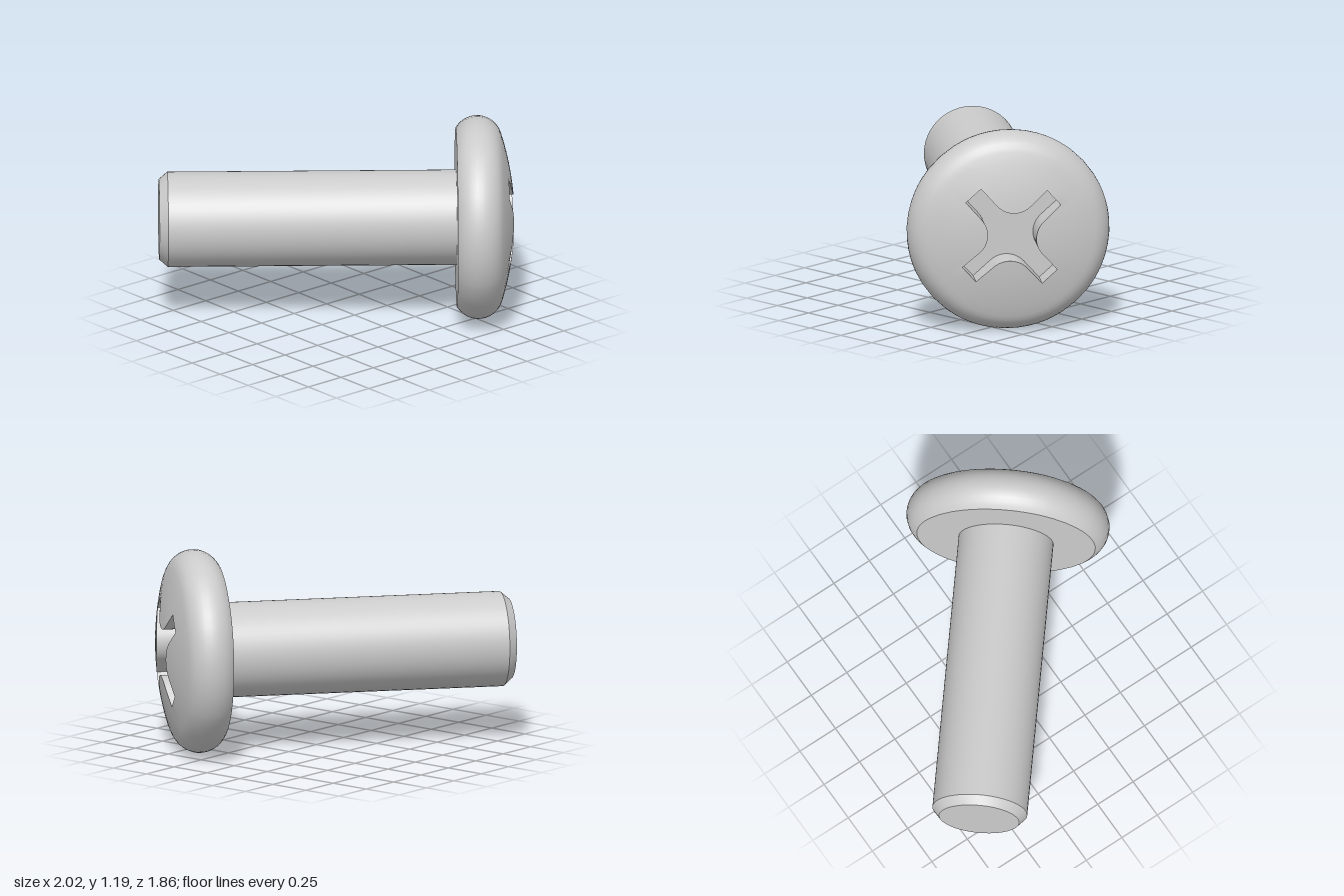
import * as THREE from 'three';
import { toCreasedNormals } from 'three/addons/utils/BufferGeometryUtils.js';

const CREASE = 0.5;
const RIM = { radius: 0.45, tube: 0.145, z: 0.125 }; // rounded edge of the head
const APEX = 0.34, FLOOR = 0.155;                    // dome height, recess floor height

// Cross-shaped recess outline, anticlockwise, star-shaped about the centre
function crossOutline() {
  const half = 0.06, tip = 0.335, fillet = 0.14, turn = THREE.MathUtils.degToRad(42);
  const centre = new THREE.Vector2();
  const points = [];
  for (let arm = 0; arm < 4; arm++) {
    const local = [[tip, -half], [tip, 0], [tip, half]];
    const c = half + fillet;
    for (let k = 0; k <= 12; k++) {
      const a = -Math.PI / 2 - (k / 12) * (Math.PI / 2);
      local.push([c + fillet * Math.cos(a), c + fillet * Math.sin(a)]);
    }
    for (const [x, y] of local) {
      points.push(new THREE.Vector2(x, y).rotateAround(centre, turn + arm * Math.PI / 2));
    }
  }
  return points;
}

// Skin closed rows of points, each row ordered anticlockwise
function skin(rows) {
  const positions = [];
  const add = (...corners) => corners.forEach((p) => positions.push(p.x, p.y, p.z));
  const n = rows[0].length;
  for (let i = 0; i < rows.length - 1; i++) {
    for (let j = 0; j < n; j++) {
      const k = (j + 1) % n;
      const a = rows[i][j], b = rows[i + 1][j], c = rows[i + 1][k], d = rows[i][k];
      if (i < rows.length - 2) add(a, b, c); else add(a, b, d);
      if (i > 0 && i < rows.length - 2) add(a, c, d);
    }
  }
  const geometry = new THREE.BufferGeometry();
  geometry.setAttribute('position', new THREE.Float32BufferAttribute(positions, 3));
  return toCreasedNormals(geometry, CREASE);
}

function headGeometry() {
  const outline = crossOutline();
  // Sphere of the dome, tangent to the rounded edge
  const { radius: R, tube: t, z: zr } = RIM;
  const g = APEX - zr;
  const S = (R * R + g * g - t * t) / (2 * (g - t));
  const domeZ = (r) => APEX - S + Math.sqrt(S * S - r * r);
  const start = Math.acos(R / (S - t));
  const end = -Math.asin(zr / t);
  const edgeRadius = R + t * Math.cos(start);

  const ring = (r, z) => outline.map((p) => {
    const a = p.angle();
    return new THREE.Vector3(r * Math.cos(a), r * Math.sin(a), z);
  });

  // Recess floor and wall
  const rows = [ring(0, FLOOR), outline.map((p) => new THREE.Vector3(p.x, p.y, FLOOR))];
  // Dome from the recess outline to the rounded edge
  for (let i = 0; i <= 6; i++) {
    rows.push(outline.map((p) => {
      const r = THREE.MathUtils.lerp(p.length(), edgeRadius, i / 6);
      const a = p.angle();
      return new THREE.Vector3(r * Math.cos(a), r * Math.sin(a), domeZ(r));
    }));
  }
  // Rounded edge, then flat underside
  for (let i = 1; i <= 12; i++) {
    const a = THREE.MathUtils.lerp(start, end, i / 12);
    rows.push(ring(R + t * Math.cos(a), zr + t * Math.sin(a)));
  }
  rows.push(ring(0, 0));
  return skin(rows);
}

// Plain round shank with a chamfered end
function shankGeometry() {
  const profile = [[0, -1.735], [0.235, -1.735], [0.278, -1.685], [0.278, 0]]
    .map(([r, y]) => new THREE.Vector2(r, y));
  const lathe = new THREE.LatheGeometry(profile, 48);
  lathe.rotateX(Math.PI / 2);
  return toCreasedNormals(lathe, CREASE);
}

export function createModel() {
  const material = new THREE.MeshStandardMaterial({ color: 0xcccccc });
  const screw = new THREE.Group();
  screw.name = 'screw';
  for (const [name, geometry] of [['head', headGeometry()], ['shank', shankGeometry()]]) {
    const mesh = new THREE.Mesh(geometry, material);
    mesh.name = name;
    screw.add(mesh);
  }
  // Lay the screw level, turned so the head points front left
  screw.rotation.y = Math.atan2(0.772, 0.635);
  screw.position.set(0.475, 0.595, 0.357);

  const model = new THREE.Group();
  model.name = 'machineScrew';
  model.add(screw);
  return model;
}
